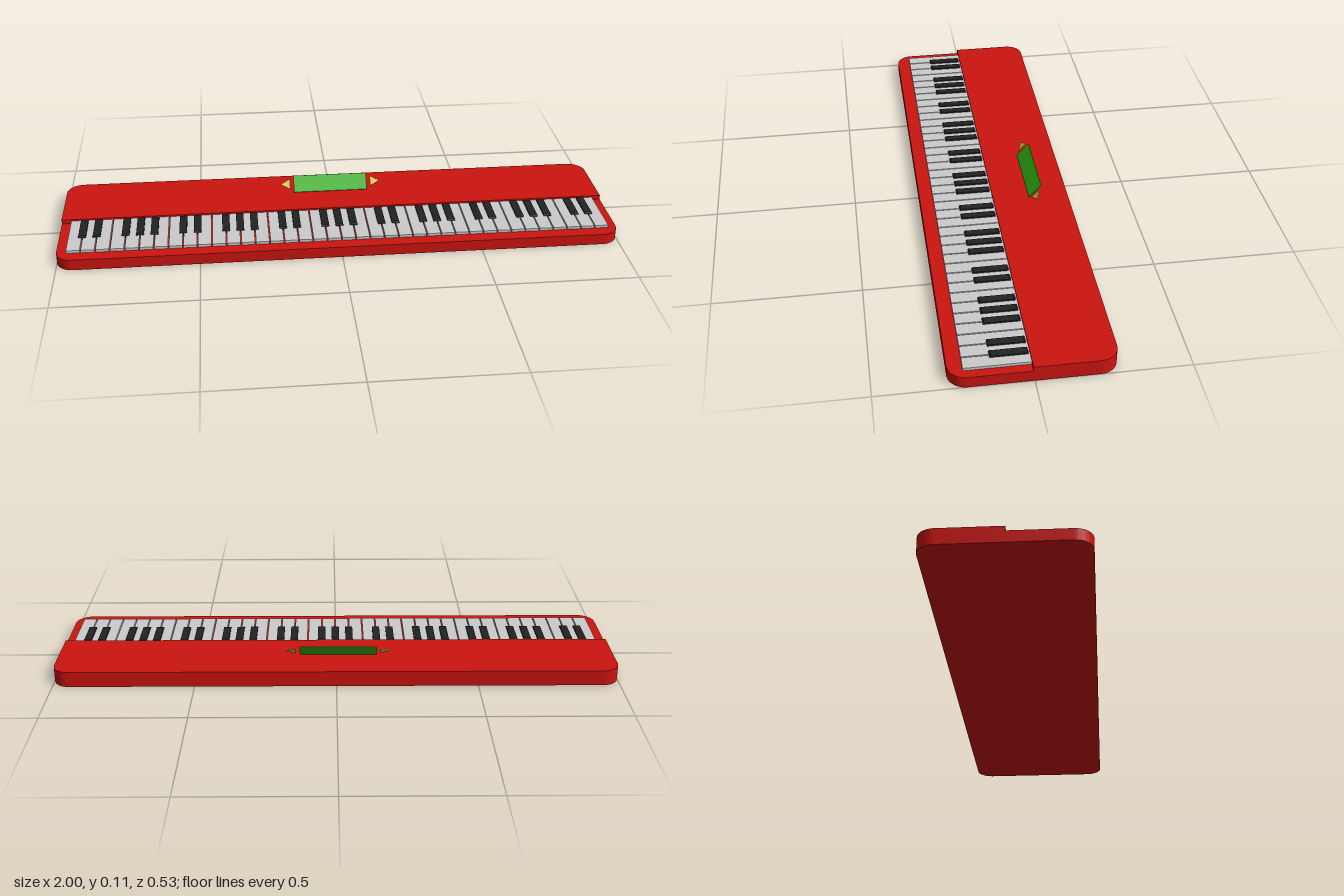
import * as THREE from 'three';
import { toCreasedNormals } from 'three/addons/utils/BufferGeometryUtils.js';

const mat = (color) => new THREE.MeshStandardMaterial({ color });
const DEPTH = 0.267, SPLIT = 0.005, RADIUS = 0.06;

function add(parent, name, geometry, material, x = 0, y = 0, z = 0) {
  const mesh = new THREE.Mesh(geometry, material);
  mesh.name = name;
  mesh.position.set(x, y, z);
  parent.add(mesh);
  return mesh;
}

// Slab from z = SPLIT out to one long edge with two rounded corners; dir is +1 front, -1 back
function slab(height, dir) {
  const s = new THREE.Shape();
  const edge = DEPTH, inner = dir * SPLIT;
  s.moveTo(-1, inner);
  s.lineTo(1, inner);
  s.lineTo(1, edge - RADIUS);
  s.absarc(1 - RADIUS, edge - RADIUS, RADIUS, 0, Math.PI / 2, false);
  s.lineTo(-1 + RADIUS, edge);
  s.absarc(-1 + RADIUS, edge - RADIUS, RADIUS, Math.PI / 2, Math.PI, false);
  s.closePath();
  const g = new THREE.ExtrudeGeometry(s, { depth: height, bevelEnabled: false, curveSegments: 10 });
  g.rotateX(-Math.PI / 2);
  if (dir > 0) g.rotateY(Math.PI);
  return toCreasedNormals(g, 0.6);
}

export function createModel() {
  const model = new THREE.Group();
  model.name = 'keyboard';
  const red = mat(0xcc1410), white = mat(0xcccccc), black = mat(0x222222);
  const green = mat(0x30b010), yellow = mat(0xe0c040);

  // Case: low key bed in front, taller control deck behind
  add(model, 'keyBed', slab(0.04, 1), red);
  add(model, 'controlDeck', slab(0.056, -1), red);

  // White keys
  const count = 38, left = -0.967, pitch = 1.938 / count;
  const whiteKeys = new THREE.Group();
  whiteKeys.name = 'whiteKeys';
  const whiteGeo = new THREE.BoxGeometry(pitch - 0.004, 0.01, 0.214);
  for (let i = 0; i < count; i++) {
    add(whiteKeys, 'whiteKey', whiteGeo, white, left + (i + 0.5) * pitch, 0.045, 0.112);
  }
  model.add(whiteKeys);

  // Black keys in groups of two and three, with a slightly sloped front end
  const blackKeys = new THREE.Group();
  blackKeys.name = 'blackKeys';
  const side = new THREE.Shape([[-0.132, 0.042], [-0.01, 0.042], [-0.01, 0.0525], [-0.014, 0.0555],
    [-0.128, 0.0555], [-0.132, 0.0525]].map(([x, y]) => new THREE.Vector2(x, y)));
  const blackGeo = new THREE.ExtrudeGeometry(side, { depth: 0.027, bevelEnabled: false });
  blackGeo.translate(0, 0, -0.0135).rotateY(Math.PI / 2);
  for (let i = 1; i < count; i++) {
    if ([1, 2, 4, 5, 6].includes(i % 7)) add(blackKeys, 'blackKey', blackGeo, black, left + i * pitch);
  }
  model.add(blackKeys);

  // Tilted display with an arrow button on each side
  const display = new THREE.Group();
  display.name = 'display';
  display.position.set(-0.007, 0.082, -0.147);
  display.rotation.x = -0.74;
  add(display, 'screen', new THREE.BoxGeometry(0.276, 0.064, 0.004), green);
  for (const s of [-1, 1]) {
    const tri = new THREE.Shape();
    tri.moveTo(s * 0.152, -0.02);
    tri.lineTo(s * 0.188, 0);
    tri.lineTo(s * 0.152, 0.02);
    tri.closePath();
    const g = new THREE.ExtrudeGeometry(tri, { depth: 0.004, bevelEnabled: false });
    add(display, s < 0 ? 'rightArrow' : 'leftArrow', g, yellow, 0, 0, -0.002);
  }
  model.add(display);
  return model;
}
